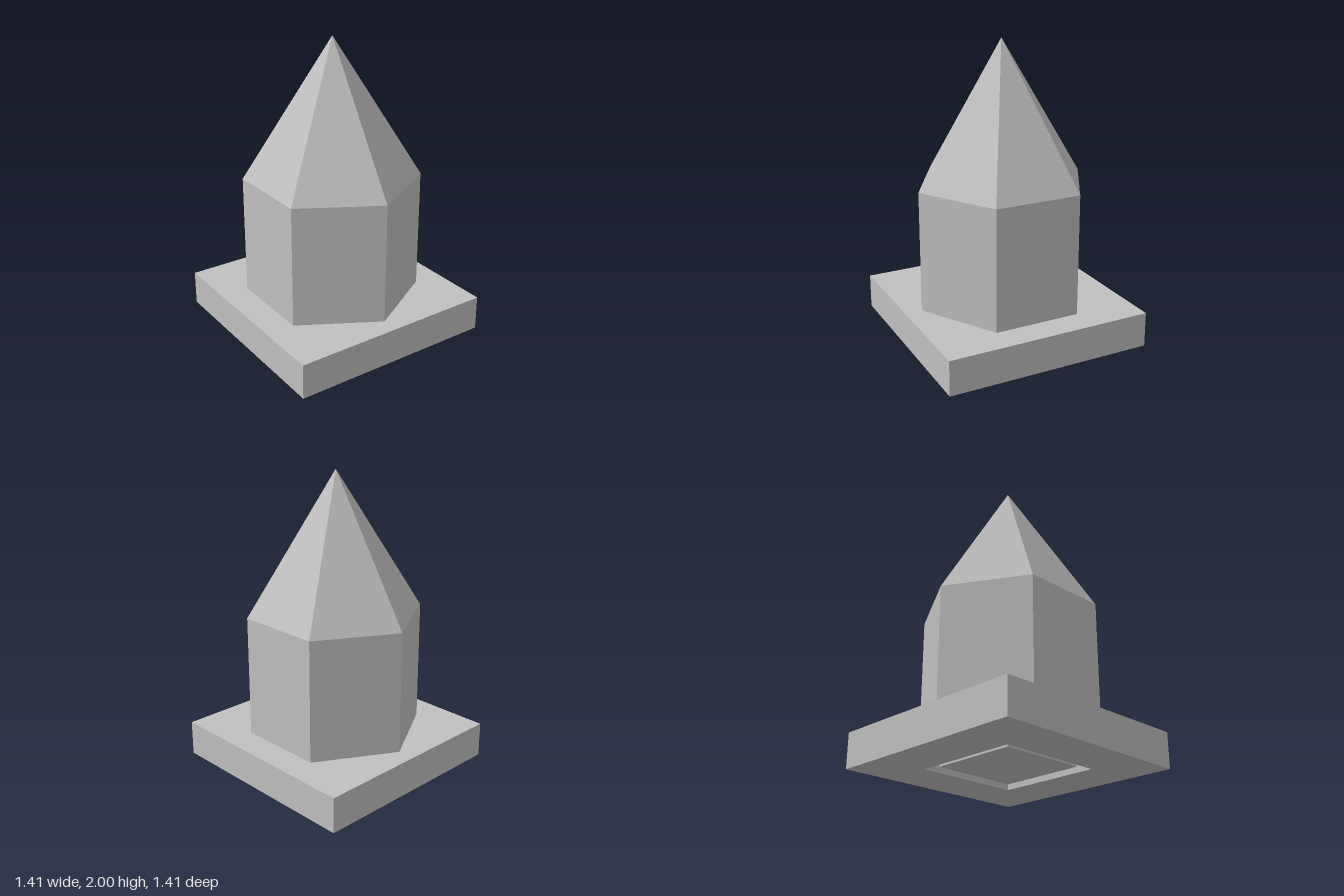
import * as THREE from 'three';

const BASE_HALF = 0.707, BASE_TOP = 0.237;
const RECESS_HALF = 0.365, RECESS_DEPTH = 0.06;
const PANEL_HALF = 0.3, PANEL_BOTTOM = 0.015;
const RADIUS = 0.591, EAVES = 1.057, APEX = 2;

// Corners of a centred square
const square = (h) => [[-h, -h], [h, -h], [h, h], [-h, h]].map(([x, y]) => new THREE.Vector2(x, y));

export function createModel() {
  const model = new THREE.Group();
  model.name = 'hexagonalTower';
  const stone = new THREE.MeshStandardMaterial({ color: 0xc0c0c0, flatShading: true });
  stone.name = 'light grey';

  const add = (name, geometry, y = 0) => {
    const mesh = new THREE.Mesh(geometry, stone);
    mesh.name = name;
    mesh.position.y = y;
    model.add(mesh);
  };
  // Square block between two heights
  const addBlock = (name, half, bottom, top) =>
    add(name, new THREE.BoxGeometry(half * 2, top - bottom, half * 2), (bottom + top) / 2);

  // Square plinth with a square opening underneath
  const outline = new THREE.Shape(square(BASE_HALF));
  outline.holes.push(new THREE.Path(square(RECESS_HALF).reverse()));
  const plinth = new THREE.ExtrudeGeometry(outline, { depth: BASE_TOP, bevelEnabled: false });
  plinth.rotateX(-Math.PI / 2);
  add('plinth', plinth);

  // Recess ceiling and the raised panel inside it, leaving a groove around
  addBlock('recessCeiling', RECESS_HALF, RECESS_DEPTH, BASE_TOP);
  addBlock('undersidePanel', PANEL_HALF, PANEL_BOTTOM, RECESS_DEPTH);

  // Six-sided body and pointed roof, with corners facing front and back
  const bodyHeight = EAVES - BASE_TOP, roofHeight = APEX - EAVES;
  add('body', new THREE.CylinderGeometry(RADIUS, RADIUS, bodyHeight, 6, 1, true), BASE_TOP + bodyHeight / 2);
  add('roof', new THREE.ConeGeometry(RADIUS, roofHeight, 6, 1, true), EAVES + roofHeight / 2);

  return model;
}
